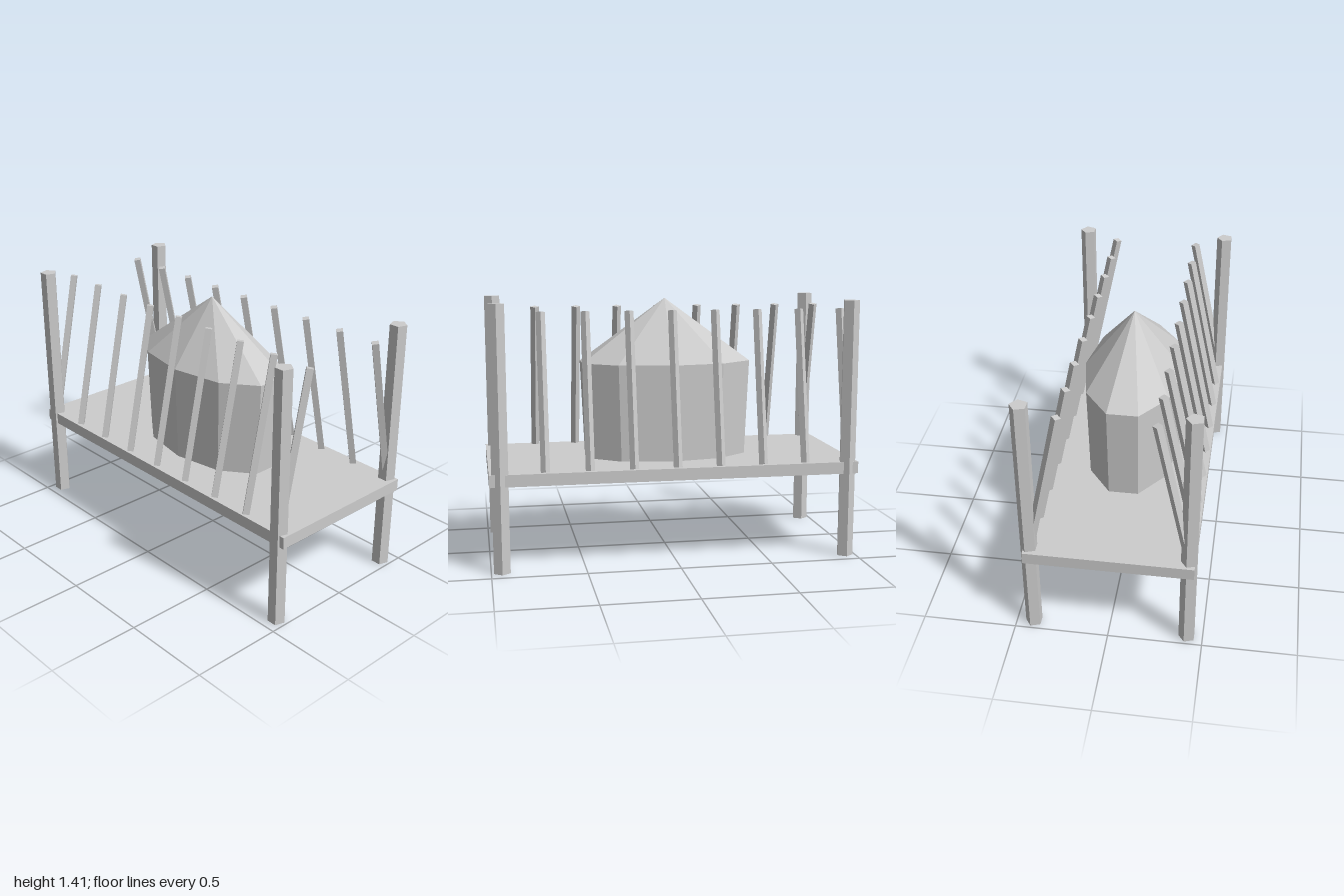
import * as THREE from 'three';

const MID_Z = 0.0055;

export function createModel() {
  const model = new THREE.Group();
  const stone = new THREE.MeshStandardMaterial({ color: 0xcccccc });
  stone.name = 'paleGrey';

  // Faceted prism or cone whose first corner is at the given angle
  const prism = (top, bottom, height, sides, start = 0, open = false) =>
    new THREE.CylinderGeometry(top, bottom, height, sides, 1, open, start).toNonIndexed();

  const add = (name, geometry, x, y, z) => {
    geometry.computeVertexNormals();
    const mesh = new THREE.Mesh(geometry, stone);
    mesh.name = name;
    mesh.position.set(x, y, MID_Z + z);
    model.add(mesh);
    return mesh;
  };

  // Raised platform
  add('platform', new THREE.BoxGeometry(2, 0.065, 0.88), 0, 0.4975, 0);

  // Five-sided corner posts
  for (const x of [-0.943, 0.943]) {
    for (const z of [-0.4125, 0.4125]) {
      add('cornerPost', prism(0.046, 0.046, 1.41, 5, Math.PI), x, 0.705, z);
    }
  }

  // Rows of thin square rods leaning inward along both long sides
  const lean = THREE.MathUtils.degToRad(11.9);
  for (const side of [-1, 1]) {
    for (let i = -4; i <= 4; i++) {
      const rod = add('leaningRod', prism(0.0245, 0.0245, 0.843, 4), i * 0.2355, 0.942, side * 0.324);
      rod.rotation.x = -side * lean;
    }
  }

  // Ten-sided oval hut: walls flaring slightly upward, pointed roof
  const walls = prism(0.494, 0.47, 0.53, 10).scale(1, 1, 0.549);
  add('hutWalls', walls, 0, 0.795, 0);
  const roof = prism(0, 0.494, 0.35, 10).scale(1, 1, 0.549);
  add('hutRoof', roof, 0, 1.235, 0);

  return model;
}
